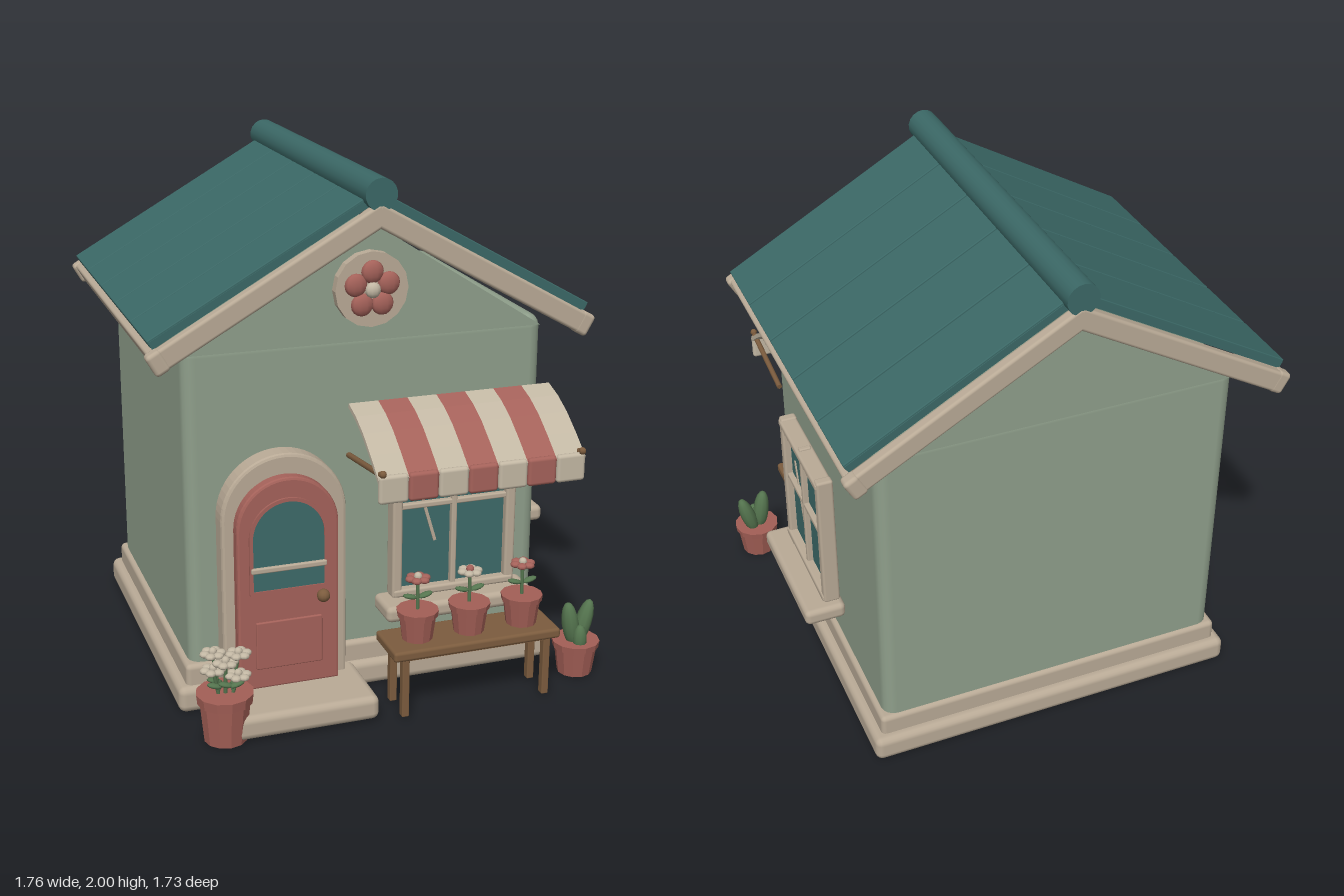
import * as THREE from 'three';
import { RoundedBoxGeometry } from 'three/addons/geometries/RoundedBoxGeometry.js';

const mat = (name, color) => Object.assign(new THREE.MeshStandardMaterial({ color }), { name });
const M = {
  wall: mat('sage wall', 0x8f9f8b), trim: mat('beige trim', 0xb9aa96), red: mat('dusty red', 0xa5625a),
  teal: mat('teal roof', 0x3b6866), glass: mat('teal glass', 0x3d6a69), cream: mat('cream', 0xc3b8a4),
  wood: mat('wood', 0x7c5c3e), leaf: mat('leaf green', 0x55754f), pot: mat('terracotta', 0xa35f56),
};

function add(parent, name, geo, material, x = 0, y = 0, z = 0) {
  const m = new THREE.Mesh(geo, material);
  m.name = name;
  m.position.set(x, y, z);
  parent.add(m);
  return m;
}
function group(parent, name, x = 0, y = 0, z = 0) {
  const g = new THREE.Group();
  g.name = name;
  g.position.set(x, y, z);
  parent.add(g);
  return g;
}
// Rounded box given by its min and max on each axis
function block(parent, name, material, [x0, x1], [y0, y1], [z0, z1], r = 0.01) {
  const w = x1 - x0, h = y1 - y0, d = z1 - z0;
  const geo = r ? new RoundedBoxGeometry(w, h, d, 2, Math.min(r, w / 2.1, h / 2.1, d / 2.1))
    : new THREE.BoxGeometry(w, h, d);
  return add(parent, name, geo, material, (x0 + x1) / 2, (y0 + y1) / 2, (z0 + z1) / 2);
}
function rod(parent, name, material, a, b, r) {
  const p = new THREE.Vector3(...a), q = new THREE.Vector3(...b);
  const m = add(parent, name, new THREE.CylinderGeometry(r, r, p.distanceTo(q), 8), material);
  m.position.copy(p).lerp(q, 0.5);
  m.quaternion.setFromUnitVectors(new THREE.Vector3(0, 1, 0), q.sub(p).normalize());
  return m;
}
function faceted(geo) {
  const g = geo.toNonIndexed();
  g.computeVertexNormals();
  return g;
}
function archPath(S, hw, y0, yc) {
  const s = new S();
  s.moveTo(-hw, y0);
  s.lineTo(hw, y0);
  s.lineTo(hw, yc);
  s.absarc(0, yc, hw, 0, Math.PI, false);
  s.closePath();
  return s;
}
function extrude(shape, depth, bevel = 0) {
  const g = new THREE.ExtrudeGeometry(shape, {
    depth: depth - 2 * bevel, bevelEnabled: bevel > 0, bevelSize: bevel, bevelThickness: bevel,
    bevelOffset: -bevel, bevelSegments: 2, curveSegments: 14 });
  return g.translate(0, 0, bevel);
}

function addRoof(root) {
  const roof = group(root, 'roof', -0.03, 1.91, -0.1275);
  for (const turn of [0, Math.PI]) {
    const side = group(roof, 'roofSide');
    side.rotation.y = turn;
    const slope = group(side, 'roofSlope');
    slope.rotation.z = -0.516;
    block(slope, 'roofDeck', M.teal, [0, 0.943], [0, 0.029], [-0.697, 0.697], 0);
    for (let i = 0; i < 5; i++) {
      const z = -0.697 + i * 0.279;
      block(slope, 'roofPanel', M.teal, [0, 0.946], [0.006, 0.036], [z + 0.003, z + 0.276], 0.004);
    }
    for (const s of [-1, 1]) {
      const z = s * 0.715;
      block(slope, 'bargeBoard', M.trim, [0, 0.98], [-0.08, 0], [z - 0.023, z + 0.023], 0.012);
      block(slope, 'bargeEnd', M.trim, [0.925, 0.984], [-0.083, 0.004], [z - 0.03, z + 0.024], 0.015);
    }
    block(slope, 'eaveBoard', M.trim, [0.93, 0.972], [-0.08, 0], [-0.7, 0.7], 0.01);
  }
  const ridge = add(roof, 'ridgeCap', new THREE.CylinderGeometry(0.06, 0.06, 1.472, 18), M.teal, 0, 0.03, 0);
  ridge.rotation.x = Math.PI / 2;
}

// Window facing +z, centred on its frame
function addWindow(root, name, w, h, sillW, sillH, crossY) {
  const g = group(root, name), a = w / 2, b = h / 2;
  block(g, 'windowGlass', M.glass, [-a + 0.02, a - 0.02], [-b + 0.02, b - 0.02], [0.015, 0.035], 0);
  for (const s of [-1, 1]) {
    const x = s * (a - 0.02), y = s * (b - 0.02);
    block(g, 'windowPost', M.trim, [x - 0.02, x + 0.02], [-b, b], [0, 0.065]);
    block(g, 'windowRail', M.trim, [-a + 0.005, a - 0.005], [y - 0.018, y + 0.013], [0, 0.07]);
  }
  block(g, 'verticalBar', M.trim, [-0.011, 0.011], [-b, b], [0.01, 0.058], 0.006);
  block(g, 'horizontalBar', M.trim, [-a, a], [crossY - 0.011, crossY + 0.011], [0.01, 0.056], 0.006);
  block(g, 'windowSill', M.trim, [-sillW / 2, sillW / 2], [-b - sillH, -b + 0.004], [-0.01, 0.152], 0.022);
  const glint = add(g, 'glassGlint', new THREE.BoxGeometry(0.012, 0.26, 0.006), M.trim, -0.108, 0, 0.037);
  glint.rotation.z = 0.29;
  return g;
}

function addDoor(root) {
  const d = group(root, 'door', -0.38, 0, 0);
  add(d, 'doorFrame', extrude(archPath(THREE.Shape, 0.24, 0.08, 0.767), 0.09, 0.012), M.trim, 0, 0, 0.47);
  add(d, 'doorLeaf', extrude(archPath(THREE.Shape, 0.195, 0.1, 0.737), 0.1, 0.01), M.red, 0, 0, 0.505);
  add(d, 'doorGlass', extrude(archPath(THREE.Shape, 0.138, 0.5, 0.707), 0.008), M.glass, 0, 0, 0.602);
  const rim = archPath(THREE.Shape, 0.15, 0.488, 0.707);
  rim.holes.push(archPath(THREE.Path, 0.136, 0.502, 0.707));
  add(d, 'doorGlassRim', extrude(rim, 0.012), M.red, 0, 0, 0.602);
  block(d, 'doorBar', M.trim, [-0.145, 0.145], [0.575, 0.597], [0.6, 0.622], 0.006);
  block(d, 'doorPanel', M.red, [-0.128, 0.128], [0.185, 0.375], [0.6, 0.613], 0.005);
  add(d, 'doorKnob', new THREE.SphereGeometry(0.025, 12, 8), M.wood, 0.127, 0.46, 0.628);
  block(d, 'doorStep', M.trim, [-0.295, 0.29], [0.01, 0.105], [0.48, 0.81], 0.028);
}

function addAwning(root) {
  const awning = group(root, 'awning');
  const top = [[0.52, 1.16], [0.6, 1.135], [0.68, 1.095], [0.76, 1.04], [0.845, 0.975]];
  const line = [...top, ...top.map(([z, y]) => [z - 0.005, y - 0.016]).reverse()];
  const profile = new THREE.Shape(line.map(p => new THREE.Vector2(...p)));
  for (let i = 0; i < 7; i++) {
    const x0 = -0.12 + i * 0.115, x1 = x0 + 0.115, m = i % 2 ? M.red : M.cream;
    const strip = add(awning, 'awningStripe', extrude(profile, 0.115), m, x1, 0, 0);
    strip.rotation.y = -Math.PI / 2;
    block(awning, 'awningValance', m, [x0 + 0.001, x1 - 0.001], [0.883, 0.99], [0.825, 0.853], 0.013);
  }
  for (const x of [-0.105, 0.67]) {
    rod(awning, 'awningArm', M.wood, [x, 0.945, 0.48], [x, 0.99, 0.835], 0.011);
    add(awning, 'awningKnob', new THREE.SphereGeometry(0.014, 8, 6), M.wood, x, 0.998, 0.848);
  }
}

function addPot(parent, h, rTop, rBottom) {
  const rim = h * 0.2;
  add(parent, 'potBody', faceted(new THREE.CylinderGeometry(rTop * 0.9, rBottom, h - rim / 2, 12)), M.pot, 0, (h - rim / 2) / 2, 0);
  add(parent, 'potRim', faceted(new THREE.CylinderGeometry(rTop, rTop * 0.96, rim, 12)), M.pot, 0, h - rim / 2, 0);
}
function addFlower(parent, base, head, petal, centre) {
  rod(parent, 'flowerStem', M.leaf, base, head, 0.007);
  const [x, y, z] = head;
  for (let i = 0; i < 6; i++) {
    const a = i * Math.PI / 3;
    add(parent, 'flowerPetal', new THREE.SphereGeometry(0.02, 8, 6), petal, x + 0.03 * Math.cos(a), y, z + 0.03 * Math.sin(a)).scale.y = 0.6;
  }
  add(parent, 'flowerCentre', new THREE.SphereGeometry(0.016, 8, 6), centre, x, y + 0.008, z);
}
function addLeaf(parent, x, y, z, size, tilt) {
  const m = add(parent, 'leaf', new THREE.SphereGeometry(1, 10, 8), M.leaf, x, y, z);
  m.scale.set(...size);
  m.rotation.z = tilt;
}

export function createModel() {
  const root = new THREE.Group();
  root.name = 'cottageShop';

  // Walls, gable and stepped plinth
  block(root, 'walls', M.wall, [-0.73, 0.67], [0.1, 1.42], [-0.73, 0.48], 0.05);
  const tri = new THREE.Shape([[-0.69, 1.38], [0.69, 1.38], [0, 1.825]].map(p => new THREE.Vector2(...p)));
  add(root, 'gable', extrude(tri, 1.206), M.wall, -0.03, 0, -0.728);
  block(root, 'lowerPlinth', M.trim, [-0.785, 0.725], [0, 0.105], [-0.78, 0.525], 0.03);
  block(root, 'upperPlinth', M.trim, [-0.75, 0.69], [0.08, 0.185], [-0.745, 0.5], 0.02);

  addRoof(root);
  addDoor(root);
  addAwning(root);
  addWindow(root, 'frontWindow', 0.5, 0.665, 0.6, 0.06, 0.03).position.set(0.28, 0.7225, 0.535);
  const sideWindow = addWindow(root, 'sideWindow', 0.48, 0.575, 0.556, 0.062, 0.022);
  sideWindow.position.set(0.712, 0.7775, -0.125);
  sideWindow.rotation.y = Math.PI / 2;

  // Gable rosette
  const rosette = group(root, 'rosette', -0.03, 1.58, 0.475);
  add(rosette, 'rosetteDisc', faceted(new THREE.CylinderGeometry(0.14, 0.14, 0.05, 16)), M.trim, 0, 0, 0.015).rotation.x = Math.PI / 2;
  for (let i = 0; i < 5; i++) {
    const a = Math.PI / 2 + i * Math.PI * 0.4;
    add(rosette, 'rosettePetal', new THREE.SphereGeometry(0.043, 10, 8), M.red, 0.066 * Math.cos(a), 0.066 * Math.sin(a), 0.042).scale.z = 0.5;
  }
  add(rosette, 'rosetteCentre', new THREE.SphereGeometry(0.03, 10, 8), M.cream, 0, 0, 0.05).scale.z = 0.7;

  // Bench with three flower pots
  const bench = group(root, 'bench');
  block(bench, 'benchTop', M.wood, [-0.05, 0.62], [0.25, 0.29], [0.635, 0.845], 0.012);
  for (const z of [0.675, 0.805]) {
    block(bench, 'benchRail', M.wood, [0, 0.58], [0.235, 0.255], [z - 0.008, z + 0.008], 0);
    for (const x of [0.005, 0.575]) block(bench, 'benchLeg', M.wood, [x - 0.014, x + 0.014], [0.01, 0.255], [z - 0.016, z + 0.016], 0.004);
  }
  [0.077, 0.285, 0.5].forEach((x, i) => {
    const p = group(root, 'flowerPot', x, 0.29, 0.74);
    addPot(p, 0.117, 0.08, 0.058);
    addFlower(p, [0, 0.09, 0], [0, 0.24, 0], i === 1 ? M.cream : M.red, i === 1 ? M.red : M.cream);
    for (const s of [-1, 1]) addLeaf(p, s * 0.03, 0.17, 0, [0.03, 0.009, 0.016], s * 0.25);
  });

  // Large flower pot beside the door
  const big = group(root, 'doorFlowerPot', -0.665, 0, 0.737);
  addPot(big, 0.19, 0.107, 0.08);
  for (const [x, y, z] of [[-0.035, 0.335, -0.025], [0.055, 0.33, -0.005], [-0.045, 0.29, 0.015], [0.045, 0.26, 0.025], [0, 0.315, 0.02]]) {
    addFlower(big, [x * 0.5, 0.17, z * 0.5], [x, y, z], M.cream, M.cream);
    addLeaf(big, x * 0.9, 0.225, z, [0.03, 0.01, 0.016], x > 0 ? 0.3 : -0.3);
  }

  // Cactus pot
  const cactus = group(root, 'cactusPot', 0.78, 0, 0.66);
  addPot(cactus, 0.135, 0.094, 0.068);
  addLeaf(cactus, -0.025, 0.2, 0, [0.034, 0.098, 0.036], 0.16);
  addLeaf(cactus, 0.038, 0.195, -0.015, [0.032, 0.098, 0.034], -0.28);
  addLeaf(cactus, 0.0, 0.15, 0.035, [0.028, 0.06, 0.028], 0);
  return root;
}
